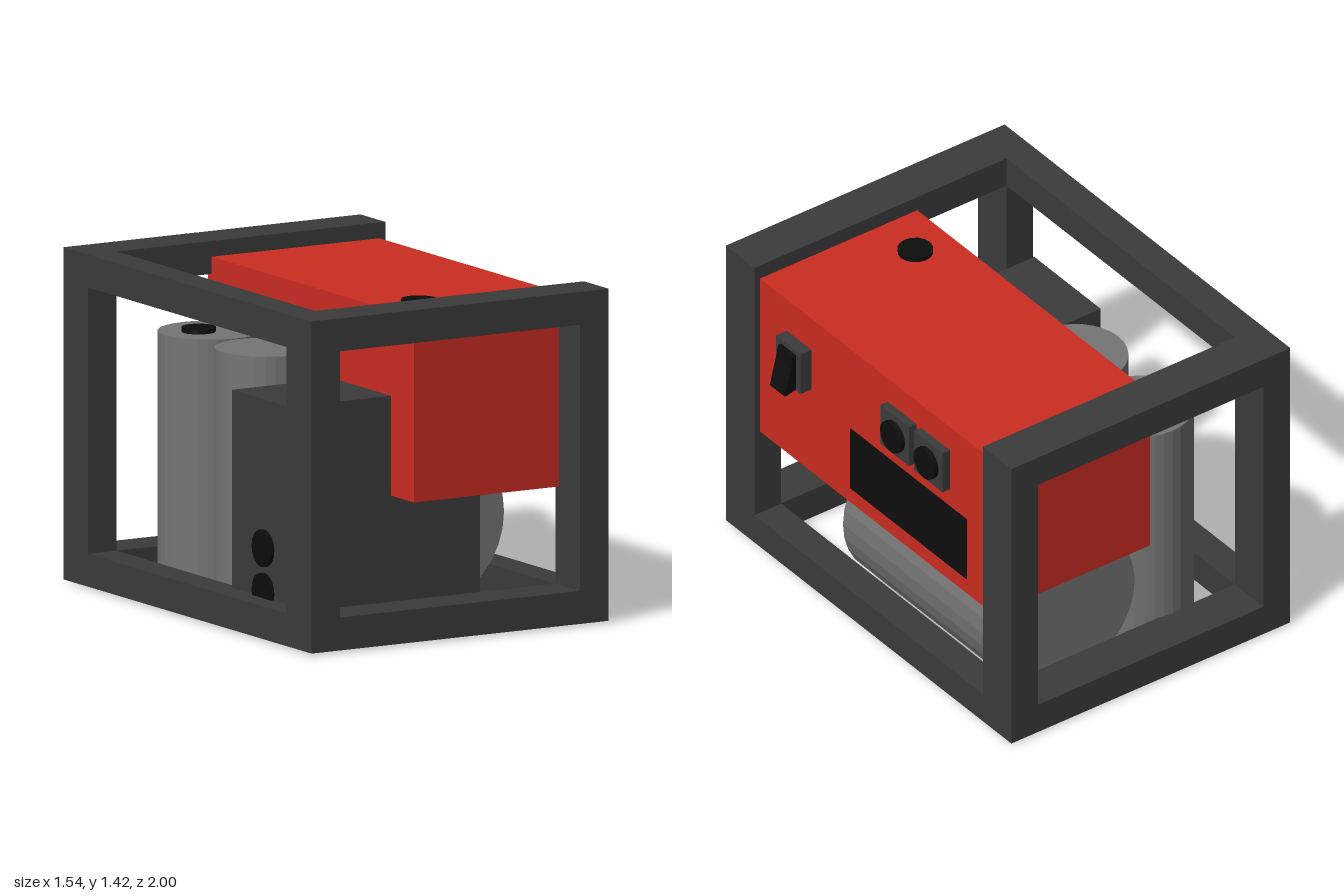
import * as THREE from 'three';

export function createModel() {
  const model = new THREE.Group();
  model.name = 'generator';

  const mat = (name, color, flatShading = false) => {
    const m = new THREE.MeshStandardMaterial({ color, flatShading });
    m.name = name;
    return m;
  };
  const charcoal = mat('charcoal', 0x3b3b3b);
  const red = mat('red', 0xcb2c22);
  const grey = mat('grey', 0x757575, true);
  const black = mat('black', 0x0d0d0d);

  const add = (name, geometry, material, parent = model) => {
    const mesh = new THREE.Mesh(geometry, material);
    mesh.name = name;
    parent.add(mesh);
    return mesh;
  };
  // Box given by its lower and upper limits on each axis
  const box = (name, material, [x0, x1], [y0, y1], [z0, z1], parent) => {
    const mesh = add(name, new THREE.BoxGeometry(x1 - x0, y1 - y0, z1 - z0), material, parent);
    mesh.position.set((x0 + x1) / 2, (y0 + y1) / 2, (z0 + z1) / 2);
    return mesh;
  };
  // Cylinder centred on a point, along the named axis
  const cylinder = (name, material, axis, r, length, x, y, z, sides = 32) => {
    const g = new THREE.CylinderGeometry(r, r, length, sides);
    if (axis === 'x') g.rotateZ(-Math.PI / 2);
    if (axis === 'z') g.rotateX(Math.PI / 2);
    const mesh = add(name, g, material);
    mesh.position.set(x, y, z);
    return mesh;
  };

  // Tubular frame: posts, cross rails and side rails (open at the upper left)
  const frame = new THREE.Group();
  frame.name = 'frame';
  model.add(frame);
  const sideX = [[-0.77, -0.63], [0.545, 0.685]];
  const endZ = [[-1, -0.8], [0.8, 1]];
  const bottomY = [0.01, 0.15], topY = [1.283, 1.423];
  for (const z of endZ) {
    for (const x of sideX) box('framePost', charcoal, x, [0.01, 1.423], z, frame);
    for (const y of [bottomY, topY]) box('crossRail', charcoal, [-0.63, 0.545], y, z, frame);
  }
  for (const x of sideX) box('bottomSideRail', charcoal, x, bottomY, [-0.8, 0.8], frame);
  box('topSideRail', charcoal, sideX[0], topY, [-0.8, 0.8], frame);

  // Fuel tank housing with filler cap
  box('tankHousing', red, [-0.165, 0.655], [0.568, 1.356], [-0.83, 0.83]);
  cylinder('fuelCap', black, 'y', 0.075, 0.02, 0.02, 1.366, 0.565, 16);

  // Engine block with two ports on its outer side
  box('engineBlock', charcoal, [-0.66, 0.27], [0.075, 0.993], [0.18, 0.645]);
  for (const y of [0.175, 0.36]) cylinder('enginePort', black, 'x', 0.08, 0.02, -0.665, y, 0.44, 16);

  // Lying alternator drum and two standing canisters
  cylinder('alternatorDrum', grey, 'z', 0.37, 1.05, 0.24, 0.37, -0.245);
  for (const z of [-0.59, -0.13]) cylinder('canister', grey, 'y', 0.22, 1.04, -0.3, 0.57, z);
  cylinder('canisterCap', black, 'y', 0.073, 0.02, -0.357, 1.1, -0.59, 16);

  // Control side: display panel and sockets
  box('displayPanel', black, [0.655, 0.66], [0.645, 0.95], [-0.65, 0.165]);
  for (const z of [-0.195, -0.43]) {
    box('socketPlate', charcoal, [0.65, 0.694], [1.037, 1.237], [z - 0.1, z + 0.1]);
    cylinder('socketFace', black, 'x', 0.073, 0.05, 0.692, 1.136, z, 16);
  }

  // Rocker switch
  box('switchPlate', charcoal, [0.65, 0.711], [0.992, 1.195], [0.44, 0.613]);
  const profile = new THREE.Shape([
    [0.7, 1.175], [0.7, 0.998], [0.77, 0.985], [0.737, 1.12], [0.727, 1.172],
  ].map(([x, y]) => new THREE.Vector2(x, y)));
  const rocker = add('rockerSwitch',
    new THREE.ExtrudeGeometry(profile, { depth: 0.106, bevelEnabled: false }), black);
  rocker.position.z = 0.472;

  return model;
}
